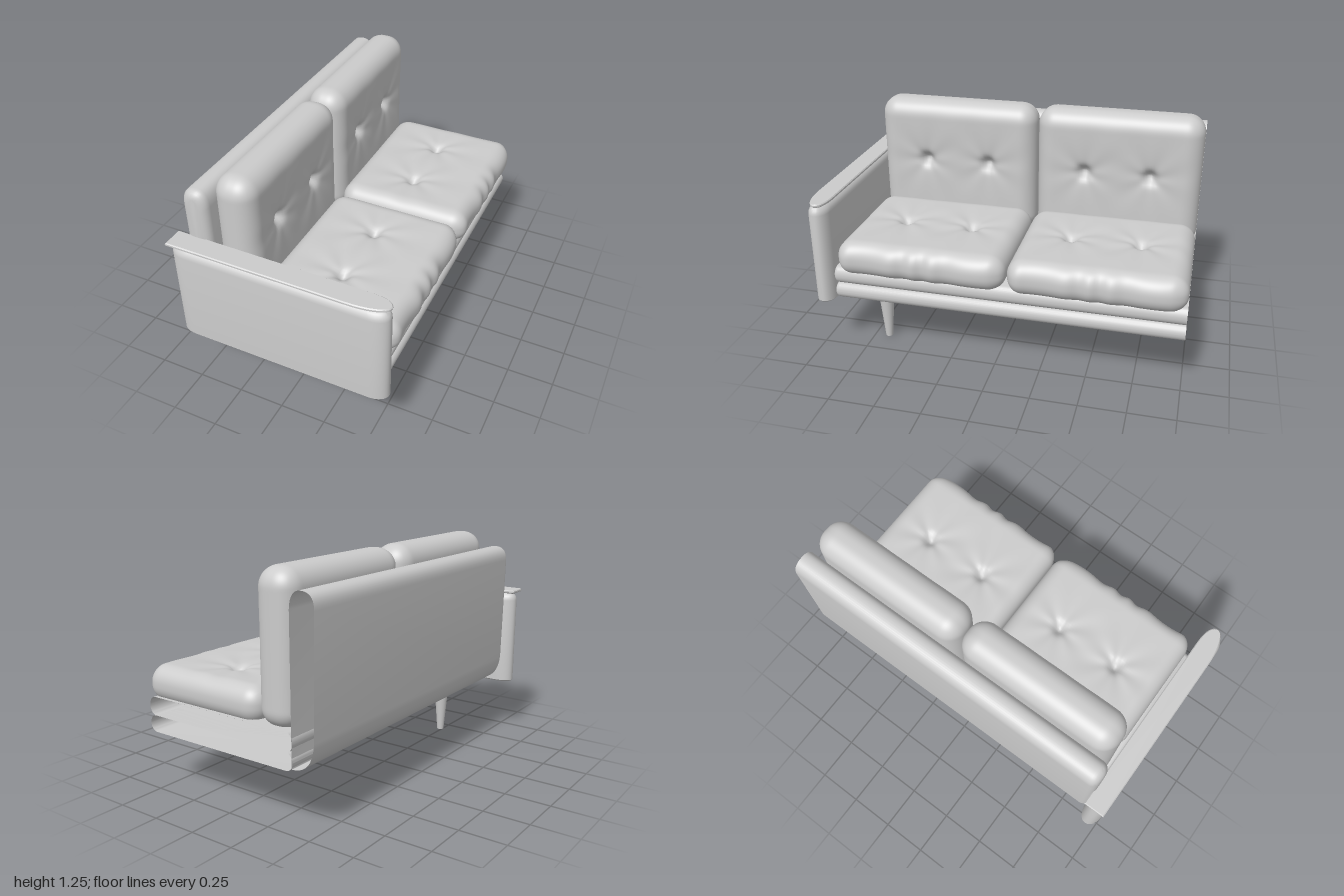
import * as THREE from 'three';
import { mergeVertices, toCreasedNormals } from 'three/addons/utils/BufferGeometryUtils.js';

const grey = new THREE.MeshStandardMaterial({ color: 0xcccccc });
const shellGrey = new THREE.MeshStandardMaterial({ color: 0xcccccc, side: THREE.DoubleSide });

// Counter-clockwise rectangle with elliptical corners
function roundRect(x0, y0, x1, y1, rx, ry, n = 8) {
  const corners = [[x1 - rx, y0 + ry, -0.5], [x1 - rx, y1 - ry, 0], [x0 + rx, y1 - ry, 0.5], [x0 + rx, y0 + ry, 1]];
  const points = [];
  for (const [cx, cy, start] of corners) {
    for (let i = 0; i <= n; i++) {
      const a = (start + 0.5 * i / n) * Math.PI;
      points.push(new THREE.Vector2(cx + rx * Math.cos(a), cy + ry * Math.sin(a)));
    }
  }
  return points;
}

// Sweep a closed profile along z; sections are [z, inset], inset 'cap' closes the end
function loft(points, sections) {
  const box = new THREE.Box2().setFromPoints(points);
  const c = box.getCenter(new THREE.Vector2());
  const size = box.getSize(new THREE.Vector2());
  const pos = [], index = [], n = points.length;
  sections.forEach(([z, inset], s) => {
    const sx = inset === 'cap' ? 0 : 1 - 2 * inset / size.x;
    const sy = inset === 'cap' ? 0 : 1 - 2 * inset / size.y;
    points.forEach((p, i) => {
      pos.push(c.x + (p.x - c.x) * sx, c.y + (p.y - c.y) * sy, z);
      if (s === 0) return;
      const a = (s - 1) * n + i, b = (s - 1) * n + (i + 1) % n;
      index.push(a, b, b + n, a, b + n, a + n);
    });
  });
  const g = new THREE.BufferGeometry();
  g.setAttribute('position', new THREE.Float32BufferAttribute(pos, 3));
  g.setIndex(index);
  return toCreasedNormals(g, 0.7);
}

// Quarter-round run of sections ending at z = end, closed by a cap
function roundedEnd(end, r, steps = 6) {
  const out = [];
  for (let i = 0; i <= steps; i++) {
    const a = 0.5 * Math.PI * i / steps;
    out.push([end - r + r * Math.sin(a), r * (1 - Math.cos(a))]);
  }
  out.push([end, 'cap']);
  return out;
}

// Rounded pad, top face pulled in at the tufts with creases radiating from them
function cushionGeometry(w, h, d, r, tufts, depth, crease) {
  let g = new THREE.BoxGeometry(w, h, d, 56, 16, 68);
  g.deleteAttribute('uv');
  g.deleteAttribute('normal');
  g = mergeVertices(g);
  const p = g.attributes.position;
  const v = new THREE.Vector3(), inner = new THREE.Vector3();
  const limit = new THREE.Vector3(w / 2 - r, h / 2 - r, d / 2 - r);
  for (let i = 0; i < p.count; i++) {
    v.fromBufferAttribute(p, i);
    inner.copy(v).clamp(limit.clone().negate(), limit);
    v.sub(inner).setLength(r).add(inner);
    if (v.y > 0) {
      const k = Math.min(1, v.y / (h / 2));
      let drop = 0;
      tufts.forEach(([tx, tz], t) => {
        const dx = v.x - tx, dz = v.z - tz, dist = Math.hypot(dx, dz);
        drop += depth * (0.65 * Math.exp(-((dist / 0.035) ** 2)) + 0.35 * Math.exp(-dist / 0.09));
        drop += crease * Math.cos(7 * Math.atan2(dz, dx) + t * 2) * (dist / 0.1) * Math.exp(-dist / 0.1);
      });
      v.y -= k * k * drop;
    }
    // Puckered front seam
    const front = Math.max(0, v.x / (w / 2) - 0.75);
    v.x += crease * 4 * front * Math.sin(v.z * 38 + 2 * Math.sin(v.z * 11));
    p.setXYZ(i, v.x, v.y, v.z);
  }
  g.computeVertexNormals();
  return g;
}

export function createModel() {
  const model = new THREE.Group();
  const add = (name, geometry, material = grey, x = 0, y = 0, z = 0) => {
    const m = new THREE.Mesh(geometry, material);
    m.name = name;
    m.position.set(x, y, z);
    model.add(m);
    return m;
  };

  // Base: two stacked rails, open at the joining end
  const railSections = [[-1, 0], ...roundedEnd(0.89, 0.02, 4)];
  add('lowerRail', loft(roundRect(-0.41, 0.315, 0.54, 0.405, 0.04, 0.044), railSections), shellGrey);
  add('upperRail', loft(roundRect(-0.41, 0.405, 0.54, 0.505, 0.04, 0.049), railSections), shellGrey);

  // Back panel with curved foot, open at the joining end
  const back = new THREE.Shape();
  back.moveTo(-0.405, 0.33);
  back.lineTo(-0.405, 1.07);
  back.bezierCurveTo(-0.408, 1.13, -0.43, 1.16, -0.47, 1.16);
  back.bezierCurveTo(-0.515, 1.16, -0.545, 1.14, -0.545, 1.08);
  back.lineTo(-0.535, 0.48);
  back.bezierCurveTo(-0.53, 0.38, -0.48, 0.33, -0.405, 0.33);
  add('backPanel', loft(back.getPoints(10).slice(0, -1), [[-1, 0], ...roundedEnd(0.895, 0.045)]), shellGrey);

  // Armrest: rounded plan, soft top edge, tight bottom edge
  const arm = loft(roundRect(-0.585, -0.0575, 0.588, 0.0575, 0.09, 0.055),
    [[0.31, 'cap'], [0.31, 0.008], [0.318, 0], ...roundedEnd(0.875, 0.05)]);
  arm.rotateX(-Math.PI / 2);
  add('armrest', arm, grey, 0, 0, 0.9425);

  // Armrest cap: thin board, square at the back and rounded at the front
  const plan = new THREE.Shape();
  plan.moveTo(-0.593, -0.0575);
  plan.lineTo(0.4, -0.0575);
  plan.bezierCurveTo(0.5, -0.057, 0.588, -0.03, 0.588, 0.005);
  plan.bezierCurveTo(0.588, 0.035, 0.55, 0.0575, 0.46, 0.0575);
  plan.lineTo(-0.593, 0.0575);
  const cap = loft(plan.getPoints(10),
    [[0.872, 'cap'], [0.872, 0.008], [0.878, 0], [0.887, 0], [0.892, 0.005], [0.892, 'cap']]);
  cap.rotateX(-Math.PI / 2);
  add('armrestCap', cap, grey, 0, 0, 0.9425);

  // Seat and back cushions, two of each
  const seat = cushionGeometry(0.765, 0.195, 0.928, 0.09, [[-0.025, -0.19], [-0.025, 0.19]], 0.055, 0.007);
  const rest = cushionGeometry(0.765, 0.225, 0.928, 0.1, [[-0.03, -0.185], [-0.03, 0.185]], 0.07, 0.004);
  rest.rotateZ(-Math.PI / 2);
  for (const [side, z] of [['left', 0.4], ['right', -0.535]]) {
    add(side + 'SeatCushion', seat, grey, 0.192, 0.568, z);
    add(side + 'BackCushion', rest, grey, -0.287, 0.8625, z);
  }

  // Tapered legs
  for (const [name, x] of [['rearLeg', -0.235], ['frontLeg', 0.354]]) {
    add(name, new THREE.CylinderGeometry(0.047, 0.02, 0.32, 24), grey, x, 0.16, 0.67);
  }
  return model;
}
